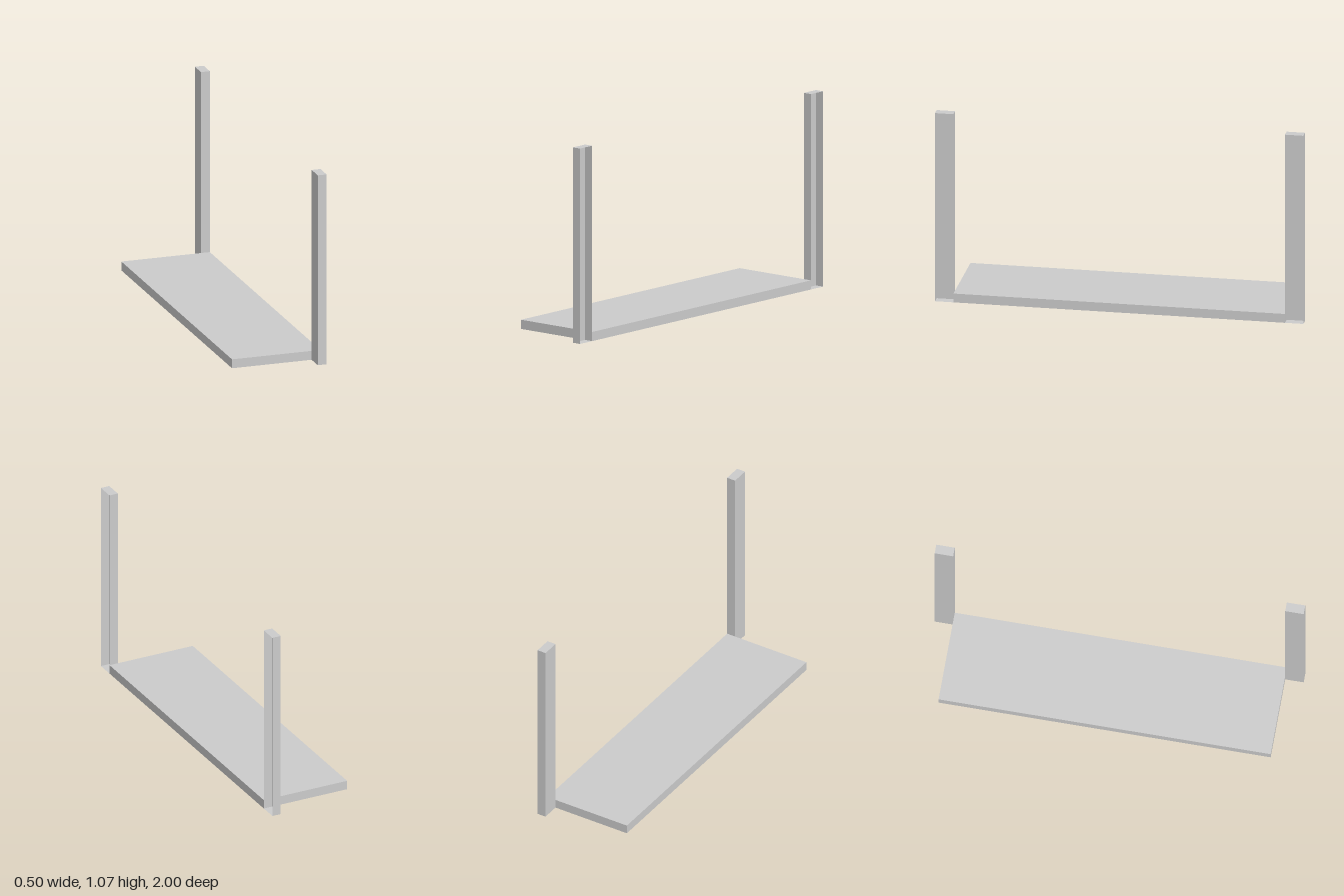
import * as THREE from 'three';

const EDGE_X = 0.25;       // outer edge shared by board and posts
const THICK = 0.05;
const POST_W = 0.1;
const POST_H = 1.065;
const BOARD_L = 1.8;

// Thin-walled box without its +x face, leaving a channel open to that side
function openBox(w, h, d) {
  const geometry = new THREE.BoxGeometry(w, h, d);
  geometry.setIndex(Array.from(geometry.index.array).slice(6)); // first two triangles are +x
  geometry.clearGroups();
  return geometry;
}

export function createModel() {
  const group = new THREE.Group();
  group.name = 'boardWithPosts';
  const solid = new THREE.MeshStandardMaterial({ color: 0xcccccc, flatShading: true });
  const thin = new THREE.MeshStandardMaterial({
    color: 0xcccccc, flatShading: true, side: THREE.DoubleSide,
  });

  // Flat base board
  const board = new THREE.Mesh(new THREE.BoxGeometry(2 * EDGE_X, THICK, BOARD_L), solid);
  board.name = 'board';
  board.position.y = THICK / 2;
  group.add(board);

  // Upright hollow post at each end of the board
  for (const [name, side] of [['frontPost', 1], ['backPost', -1]]) {
    const post = new THREE.Mesh(openBox(THICK, POST_H, POST_W), thin);
    post.name = name;
    post.position.set(EDGE_X - THICK / 2, POST_H / 2, side * (BOARD_L + POST_W) / 2);
    group.add(post);
  }
  return group;
}
